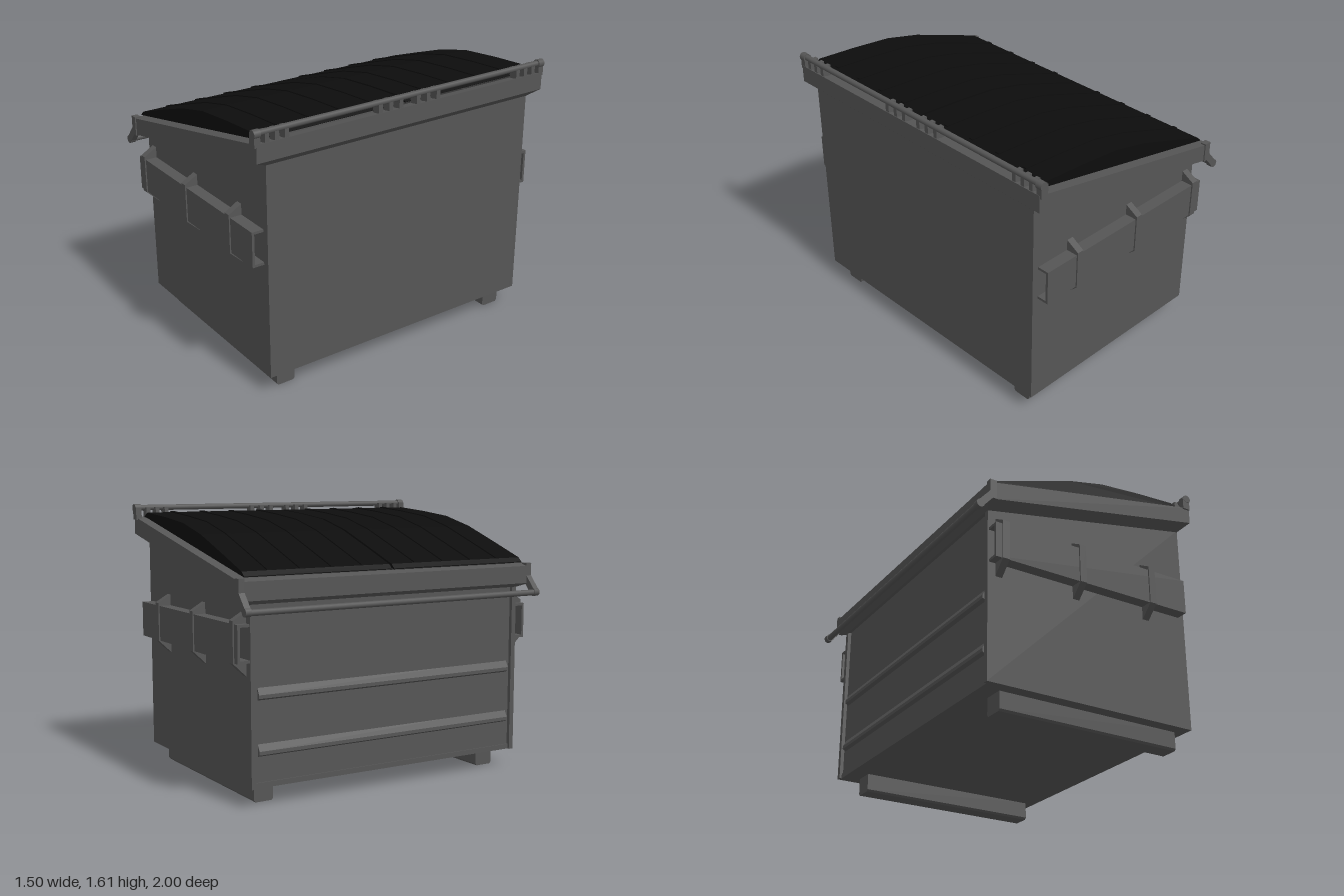
import * as THREE from 'three';

const SLOPE = 0.206; // rise of the rim and lid along x

export function createModel() {
  const root = new THREE.Group();
  const steel = new THREE.MeshStandardMaterial({ color: 0x555555 });
  steel.name = 'grey steel';
  const plastic = new THREE.MeshStandardMaterial({ color: 0x0d0d0d });
  plastic.name = 'black plastic';

  const add = (name, geo, mat = steel) => {
    const m = new THREE.Mesh(geo, mat);
    m.name = name;
    root.add(m);
    return m;
  };
  // Box from its minimum and maximum corners
  const box = (name, x0, x1, y0, y1, z0, z1, mat) => {
    const m = add(name, new THREE.BoxGeometry(x1 - x0, y1 - y0, z1 - z0), mat);
    m.position.set((x0 + x1) / 2, (y0 + y1) / 2, (z0 + z1) / 2);
    return m;
  };
  // Outline in x-y, extruded from z0 to z1
  const slab = (name, pts, z0, z1, mat) => {
    const shape = new THREE.Shape(pts.map(p => new THREE.Vector2(...p)));
    const g = new THREE.ExtrudeGeometry(shape, { depth: z1 - z0, bevelEnabled: false });
    g.translate(0, 0, z0);
    return add(name, g, mat);
  };
  // Round bar along z
  const bar = (name, x, y, r, z0, z1) => {
    const g = new THREE.CylinderGeometry(r, r, z1 - z0, 14);
    g.rotateX(Math.PI / 2);
    const m = add(name, g);
    m.position.set(x, y, (z0 + z1) / 2);
  };
  const wallTop = x => 1.255 + SLOPE * x;

  // Body: floor, tall wall, low wall and two sloping side walls
  box('floor', -0.62, 0.69, 0.11, 0.14, -0.9, 0.9);
  box('tallWall', 0.675, 0.7, 0.11, wallTop(0.68), -0.905, 0.905);
  box('lowWall', -0.612, -0.59, 0.11, wallTop(-0.61), -0.9, 0.9);
  for (const s of [-1, 1]) {
    const z = [s * 0.88, s * 0.91].sort((a, b) => a - b);
    slab('sideWall', [[-0.634, 0.11], [0.7, 0.11], [0.7, wallTop(0.7)], [-0.634, wallTop(-0.634)]], z[0], z[1]);
  }

  // Wedge ribs along the low wall
  for (const y of [0.29, 0.6]) {
    slab('wallRib', [[-0.605, y - 0.01], [-0.605, y + 0.075], [-0.633, y + 0.025], [-0.633, y + 0.005]], -0.86, 0.86);
  }

  // Sloping rim: rectangular rings joined into a closed hollow frame
  const rings = [
    [-0.634, 0.7, 0.91, 1.247],
    [-0.67, 0.74, 0.988, 1.277],
    [-0.67, 0.74, 0.988, 1.381],
    [-0.605, 0.67, 0.89, 1.381],
    [-0.605, 0.67, 0.89, 1.247],
  ].map(([x0, x1, z, y]) =>
    [[x0, z], [x1, z], [x1, -z], [x0, -z]].map(([x, zz]) => [x, y + SLOPE * x, zz]));
  const pos = [];
  rings.forEach((a, i) => {
    const b = rings[(i + 1) % rings.length];
    for (let j = 0; j < 4; j++) {
      const k = (j + 1) % 4;
      pos.push(...a[j], ...a[k], ...b[k], ...a[j], ...b[k], ...b[j]);
    }
  });
  const rim = new THREE.BufferGeometry();
  rim.setAttribute('position', new THREE.Float32BufferAttribute(pos, 3));
  rim.computeVertexNormals();
  add('rim', rim);

  // Two arched lids with shallow ribs
  const lidBase = x => 1.394 + SLOPE * x;
  const arch = [[0.685, 1.537], [0.64, 1.56], [0.38, 1.543], [0.12, 1.518], [-0.115, 1.463], [-0.37, 1.376], [-0.61, 1.292], [-0.637, 1.268]];
  const lid = [[-0.637, lidBase(-0.637)], [0.685, lidBase(0.685)], ...arch];
  const ribLine = arch.slice(1, 7);
  const ribTop = ribLine.map(([x, y]) => [x, y + 0.006]);
  const ribBase = ribLine.map(([x, y]) => [x, y - 0.01]).reverse();
  for (const s of [-1, 1]) {
    slab('lid', lid, s > 0 ? 0.008 : -0.945, s > 0 ? 0.945 : -0.008, plastic);
    for (const z of [0.18, 0.38, 0.58, 0.78]) {
      slab('lidRib', [...ribBase, ...ribTop], s * z - 0.014, s * z + 0.014, plastic);
    }
  }

  // Hinge rail with end brackets and knuckles
  bar('hingeRail', 0.72, 1.588, 0.017, -0.98, 0.98);
  for (const s of [-1, 1]) {
    box('hingeBracket', 0.69, 0.738, 1.515, 1.59, s * 0.98 - 0.018, s * 0.98 + 0.018);
    bar('hingeBracketEnd', 0.72, 1.586, 0.025, s * 0.98 - 0.02, s * 0.98 + 0.02);
    for (const z of [0.06, 0.13, 0.2, 0.8, 0.86, 0.92]) {
      box('hingeKnuckle', 0.68, 0.735, 1.525, 1.59, s * z - 0.013, s * z + 0.013);
    }
  }

  // Low lift bar on slanted arms, with corner blocks on the rim
  bar('liftBar', -0.73, 1.087, 0.018, -0.98, 0.98);
  for (const s of [-1, 1]) {
    const z0 = s * 0.977 - 0.018, z1 = s * 0.977 + 0.018;
    slab('liftArm', [[-0.745, 1.1], [-0.715, 1.072], [-0.635, 1.165], [-0.67, 1.185]], z0, z1);
    bar('liftBarEnd', -0.728, 1.089, 0.024, z0, z1);
    box('cornerBlock', -0.67, -0.627, 1.145, 1.26, z0, z1);
  }

  // Fork pockets: open channels held by bent straps
  const band = new THREE.Shape([[0.905, 0.72], [0.99, 0.8], [0.99, 1.03], [0.905, 1.08], [0.905, 1.005],
    [0.968, 1.005], [0.968, 0.815], [0.905, 0.815]].map(p => new THREE.Vector2(...p)));
  for (const s of [-1, 1]) {
    const span = (a, b) => s > 0 ? [a, b] : [-b, -a];
    box('pocketPlate', -0.625, 0.66, 0.802, 1.012, ...span(0.967, 0.982));
    box('pocketTop', -0.625, 0.66, 0.997, 1.012, ...span(0.905, 0.97));
    box('pocketBottom', -0.625, 0.66, 0.802, 0.817, ...span(0.905, 0.97));
    for (const x of [-0.565, -0.065, 0.418]) {
      const g = new THREE.ExtrudeGeometry(band, { depth: 0.042, bevelEnabled: false });
      g.translate(0, 0, -0.021);
      g.rotateY(s > 0 ? -Math.PI / 2 : Math.PI / 2); // outline x becomes outward z
      add('pocketStrap', g).position.x = x;
    }
  }

  // Skids with chamfered lower edges
  for (const s of [-1, 1]) {
    const skid = new THREE.Shape([[-0.06, 0.012], [-0.05, 0], [0.05, 0], [0.06, 0.012], [0.06, 0.115], [-0.06, 0.115]]
      .map(p => new THREE.Vector2(...p)));
    const g = new THREE.ExtrudeGeometry(skid, { depth: 1.155, bevelEnabled: false });
    g.rotateY(Math.PI / 2);
    add('skid', g).position.set(-0.515, 0, s * 0.775);
  }
  return root;
}
